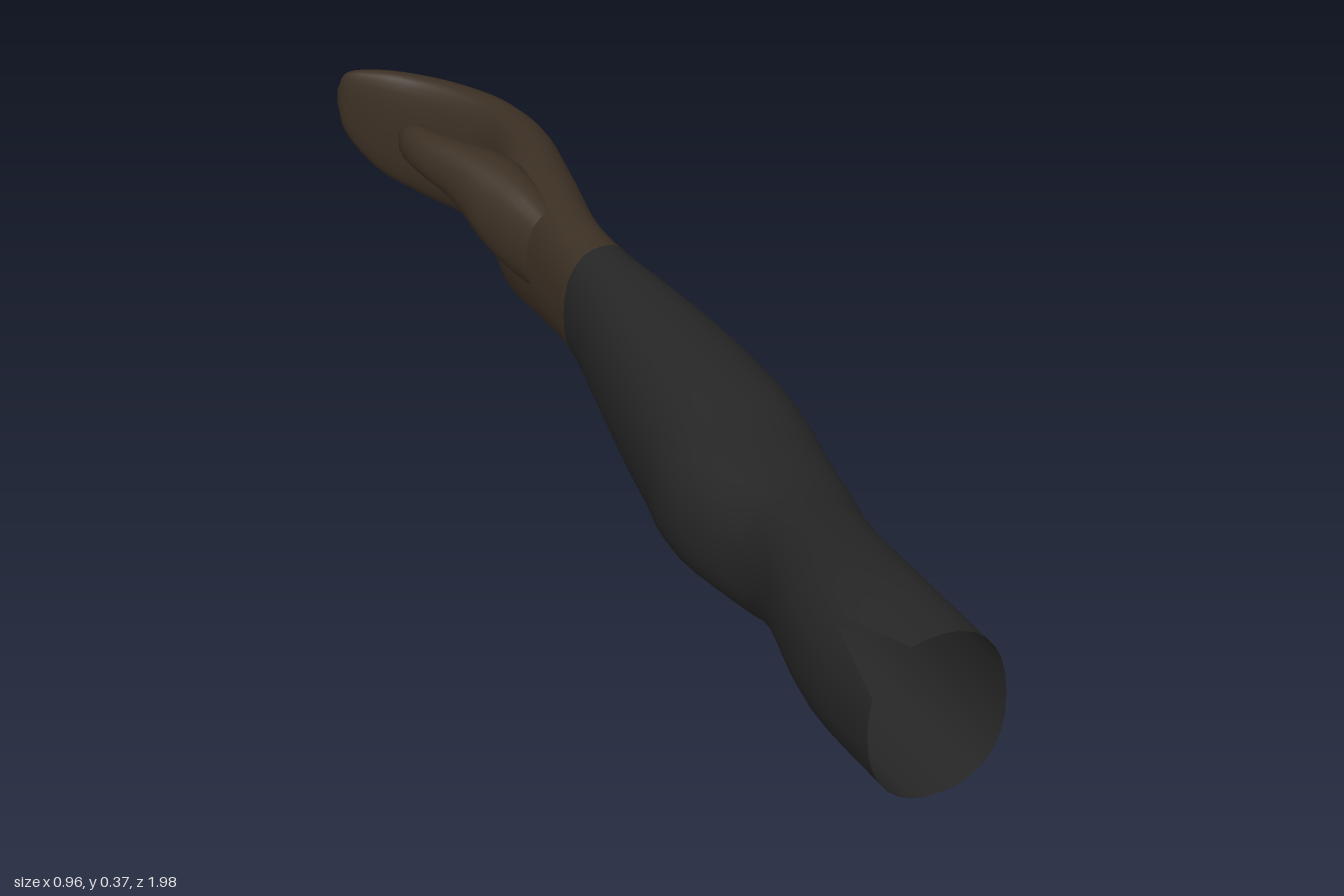
import * as THREE from 'three';

const SIDES = 30;

// Cross-sections: centre x, centre z, half width, bottom y, top y
const arm = [
  [-0.345, 0.93, 0.14, 0.022, 0.36],
  [-0.26, 0.706, 0.134, 0.028, 0.358],
  [-0.139, 0.497, 0.112, 0.038, 0.318],
  [-0.075, 0.384, 0.127, 0.014, 0.297],
  [-0.01, 0.225, 0.155, 0.008, 0.3],
  [0.055, 0.113, 0.15, 0.0, 0.315],
  [0.117, -0.025, 0.13, 0.014, 0.326],
  [0.17, -0.168, 0.1, 0.055, 0.333],
  [0.215, -0.295, 0.072, 0.096, 0.335], // wrist: sleeve ends, hand begins
  [0.255, -0.395, 0.067, 0.095, 0.342],
  [0.325, -0.52, 0.078, 0.07, 0.35],
  [0.395, -0.61, 0.064, 0.068, 0.35],
  [0.428, -0.69, 0.05, 0.062, 0.345],
  [0.431, -0.77, 0.044, 0.078, 0.34],
  [0.415, -0.855, 0.037, 0.092, 0.336],
  [0.385, -0.93, 0.028, 0.125, 0.333],
  [0.36, -0.985, 0.015, 0.19, 0.318],
  [0.352, -1.0, 0, 0.25, 0.28],
];
const WRIST = 8;

const thumb = [
  [0.235, -0.43, 0.045, 0.17, 0.335],
  [0.252, -0.5, 0.057, 0.18, 0.355],
  [0.266, -0.575, 0.062, 0.21, 0.368],
  [0.26, -0.65, 0.043, 0.26, 0.37],
  [0.257, -0.71, 0.034, 0.28, 0.366],
  [0.266, -0.765, 0.024, 0.292, 0.358],
  [0.274, -0.79, 0, 0.325, 0.33],
];

// Returns point(t, angle) on the smooth skin through the sections
function skin(sections, power) {
  const last = sections.length - 1;
  const curve = (f) => new THREE.CatmullRomCurve3(sections.map(f), false, 'catmullrom', 0.5);
  const centre = curve((s) => new THREE.Vector3(s[0], 0, s[1]));
  const size = curve((s) => new THREE.Vector3(s[2], s[3], s[4]));
  const bulge = (v) => Math.sign(v) * Math.abs(v) ** (2 / power);
  return (t, angle) => {
    const u = Math.min(t / last, 1);
    const c = centre.getPoint(u), s = size.getPoint(u), d = centre.getTangent(u);
    const w = Math.max(s.x, 0) * bulge(Math.cos(angle));
    const y = (s.y + s.z) / 2 + ((s.z - s.y) / 2) * bulge(Math.sin(angle));
    return [c.x - d.z * w, y, c.z + d.x * w];
  };
}

// Skins a tube between start(angle) and end
function loft(point, start, end, rows) {
  const positions = [], index = [];
  for (let j = 0; j <= rows; j++) {
    for (let i = 0; i < SIDES; i++) {
      const angle = (i / SIDES) * Math.PI * 2;
      const t0 = start(angle);
      positions.push(...point(t0 + ((end - t0) * j) / rows, angle));
      if (j === rows) continue;
      const a = j * SIDES + i, b = j * SIDES + ((i + 1) % SIDES);
      index.push(a, a + SIDES, b, b, a + SIDES, b + SIDES);
    }
  }
  const geometry = new THREE.BufferGeometry();
  geometry.setAttribute('position', new THREE.Float32BufferAttribute(positions, 3));
  geometry.setIndex(index);
  geometry.computeVertexNormals();
  return geometry;
}

export function createModel() {
  const group = new THREE.Group();
  group.name = 'arm';
  const sleeveCloth = new THREE.MeshStandardMaterial({ color: 0x262626, side: THREE.DoubleSide });
  sleeveCloth.name = 'charcoal sleeve';
  const skinTone = new THREE.MeshStandardMaterial({ color: 0x3c3024 });
  skinTone.name = 'dark brown';

  const add = (name, geometry, material) => {
    const mesh = new THREE.Mesh(geometry, material);
    mesh.name = name;
    group.add(mesh);
  };

  const armSkin = skin(arm, 2.3);
  // V-shaped notch in the upper rim of the open sleeve
  const notch = (angle) => {
    const degrees = THREE.MathUtils.radToDeg(angle);
    return 0.82 * Math.max(0, 1 - Math.abs(degrees - 132) / 24);
  };
  add('sleeve', loft(armSkin, notch, WRIST, 32), sleeveCloth);
  add('hand', loft(armSkin, () => WRIST, arm.length - 1, 36), skinTone);
  add('thumb', loft(skin(thumb, 2.1), () => 0, thumb.length - 1, 20), skinTone);
  return group;
}
